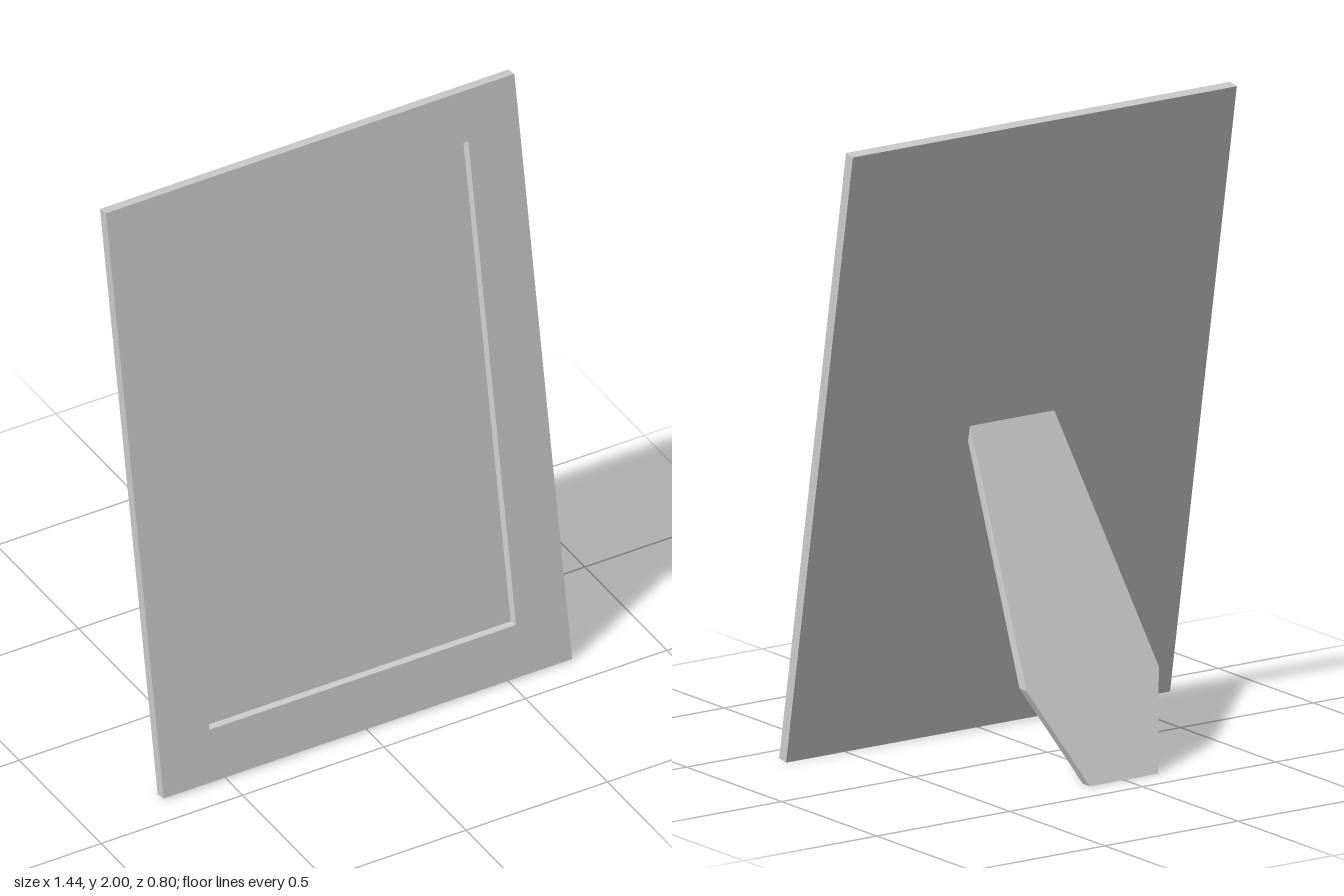
import * as THREE from 'three';

const TILT = THREE.MathUtils.degToRad(10);   // backward lean of the frame
const LEAN = Math.tan(THREE.MathUtils.degToRad(30)); // slope of the stand

// Flat-shaded solid through a series of rectangles [halfWidth, bottom, top, z], closed at both ends
function rectLoft(rects) {
  const rings = rects.map(([w, b, t, z]) => [[-w, b, z], [w, b, z], [w, t, z], [-w, t, z]]);
  const pos = [];
  const quad = (a, b, c, d) => pos.push(...a, ...b, ...c, ...a, ...c, ...d);
  for (let i = 0; i < rings.length - 1; i++) {
    const r = rings[i], s = rings[i + 1];
    for (let k = 0; k < 4; k++) {
      const n = (k + 1) % 4;
      quad(r[k], r[n], s[n], s[k]);
    }
  }
  const first = rings[0], last = rings[rings.length - 1];
  quad(first[3], first[2], first[1], first[0]);
  quad(...last);
  const g = new THREE.BufferGeometry();
  g.setAttribute('position', new THREE.Float32BufferAttribute(pos, 3));
  g.computeVertexNormals();
  return g;
}

// Tapered stand outline, extruded and sheared so that its foot lies flat on the ground
function standGeometry() {
  const depth = 0.037, top = 1.02;
  const outline = [[-0.128, 0], [0.128, 0], [0.249, 0.285], [0.158, top], [-0.158, top], [-0.249, 0.285]];
  const shape = new THREE.Shape(outline.map(([x, y]) => new THREE.Vector2(x, y)));
  const g = new THREE.ExtrudeGeometry(shape, { depth, bevelEnabled: false });
  const p = g.attributes.position;
  for (let i = 0; i < p.count; i++) {
    let y = p.getY(i);
    // the inner top edge is cut lower so it ends inside the frame
    if (y > top - 0.01 && p.getZ(i) > depth / 2) y = 0.985;
    p.setY(i, y);
    p.setZ(i, p.getZ(i) - 0.402 + y * LEAN);
  }
  g.computeVertexNormals();
  return g;
}

export function createModel() {
  const model = new THREE.Group();
  model.name = 'pictureFrame';
  const material = new THREE.MeshStandardMaterial({ color: 0xcccccc, flatShading: true });

  // Leaning panel with a shallow recess that has sloped sides
  const t = 0.037, h = 2.024, inset = 0.008, recess = 0.018;
  const frame = new THREE.Mesh(rectLoft([
    [0.722, 0, h, 0],
    [0.722, 0, h, t],
    [0.542, 0.178, 1.851, t],
    [0.542 - inset, 0.178 + inset, 1.851 - inset, t - recess],
  ]), material);
  frame.name = 'framePanel';
  frame.position.z = 0.365;
  frame.rotation.x = -TILT;
  model.add(frame);

  // Rear prop
  const stand = new THREE.Mesh(standGeometry(), material);
  stand.name = 'backStand';
  model.add(stand);

  return model;
}
